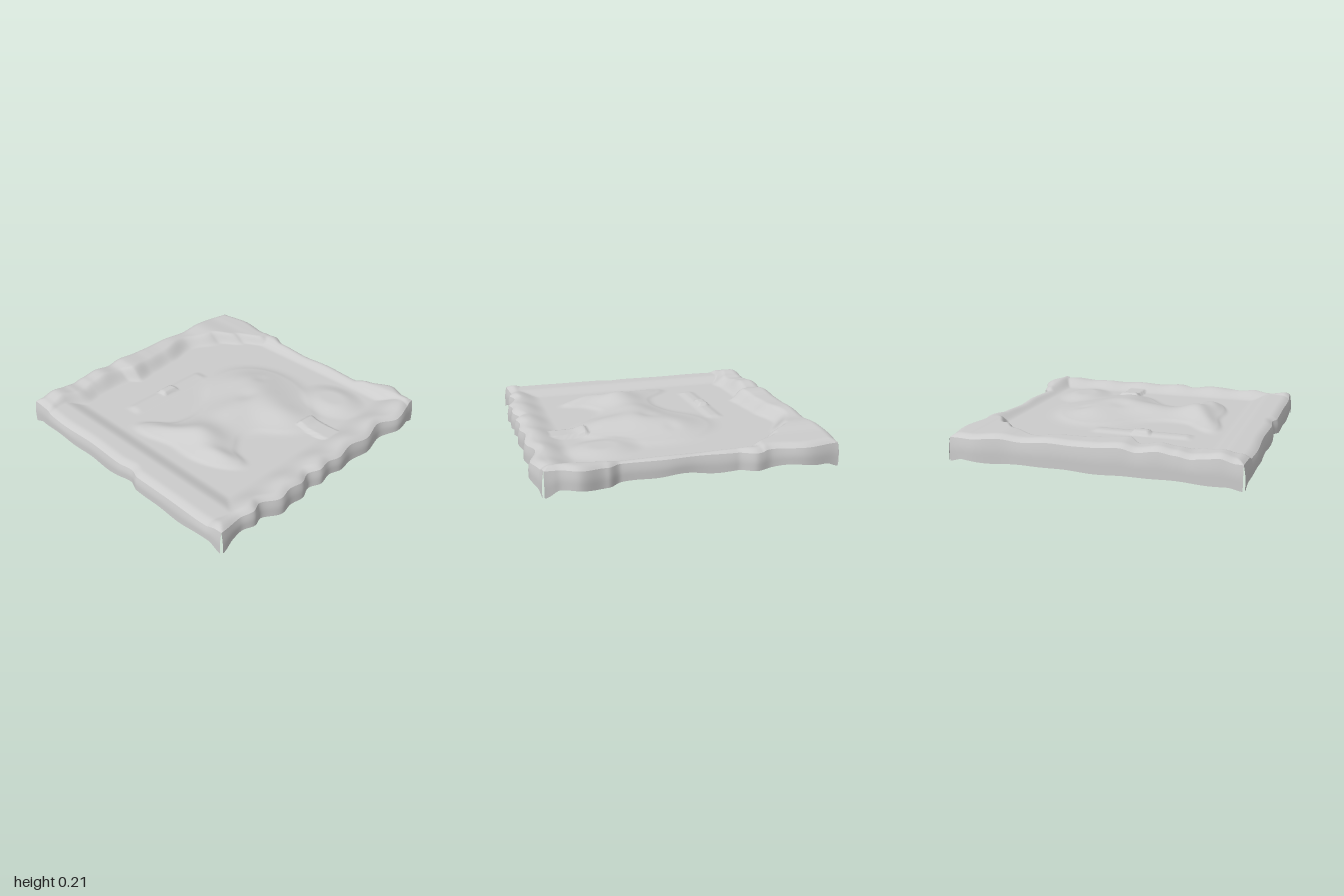
import * as THREE from 'three';

const N = 170; // grid cells per side
const FLOOR = 0.125;
const material = new THREE.MeshStandardMaterial({ color: 0xcccccc, side: THREE.DoubleSide });

const smooth = (a, b, t) => {
  const k = Math.min(1, Math.max(0, (t - a) / (b - a)));
  return k * k * (3 - 2 * k);
};
const lerp = THREE.MathUtils.lerp;

// Eased curve through [position, value] points
function along(points, t) {
  for (let i = 1; i < points.length; i++) {
    const [a, va] = points[i - 1], [b, vb] = points[i];
    if (t <= b) return lerp(va, vb, smooth(a, b, t));
  }
  return points[points.length - 1][1];
}

// Rotated oval bump, gaussian in section
function bump(x, z, cx, cz, rx, rz, angle, h) {
  const c = Math.cos(angle), s = Math.sin(angle), dx = x - cx, dz = z - cz;
  const p = (dx * c + dz * s) / rx, q = (-dx * s + dz * c) / rz;
  return h * Math.exp(-(p * p + q * q));
}

// Raised rectangle with soft sides
const plateau = (x, z, x0, x1, z0, z1, e) =>
  smooth(x0 - e, x0 + e, x) * smooth(x1 + e, x1 - e, x) * smooth(z0 - e, z0 + e, z) * smooth(z1 + e, z1 - e, z);

// Outline of the slab
const leftEdge = [[-1, -0.96], [-0.8, -0.985], [-0.55, -0.97], [-0.2, -0.975], [1, -0.975]];
const rightEdge = [[-1, 0.94], [-0.76, 0.985], [-0.59, 0.93], [-0.4, 0.968], [-0.24, 0.945], [-0.1, 0.967],
  [0, 0.95], [0.1, 0.967], [0.19, 0.93], [0.3, 0.967], [0.4, 0.955], [0.49, 0.97], [0.64, 0.912], [0.72, 0.94], [0.82, 0.913], [1, 0.935]];
const backEdge = [[-1, -0.95], [-0.76, -0.982], [-0.52, -0.945], [-0.4, -0.972], [-0.28, -0.925], [0, -0.905],
  [0.2, -0.917], [0.5, -0.902], [0.6, -0.95], [0.78, -0.998], [0.92, -0.95], [1, -0.945]];
const frontEdge = [[-1, 0.955], [-0.6, 0.975], [-0.3, 0.965], [0, 0.975], [0.13, 0.96], [0.22, 0.985], [0.5, 0.985], [0.8, 0.99], [1, 0.98]];

// Inner foot of the tall left bank, and its crest
const bankFoot = [[-0.85, -0.35], [-0.72, -0.52], [-0.58, -0.66], [-0.36, -0.76], [-0.12, -0.71], [0.08, -0.69],
  [0.21, -0.67], [0.29, -0.735], [0.42, -0.74], [0.55, -0.735], [0.66, -0.71], [0.8, -0.74], [1, -0.7]];
const bankCrest = [[-1, 0.05], [-0.8, 0.055], [-0.6, 0.072], [-0.45, 0.06], [-0.25, 0.075], [-0.1, 0.07], [0.03, 0.072],
  [0.2, 0.085], [0.3, 0.066], [0.43, 0.085], [0.54, 0.07], [0.63, 0.056], [0.7, 0.064], [0.8, 0.078], [0.9, 0.055], [1, 0.05]];

function height(x, z) {
  // Rims round the sunken floor
  const foot = along(bankFoot, z);
  const bank = along(bankCrest, z) * smooth(foot + 0.01, foot - 0.11, x);
  const back = lerp(0.043, 0.062, smooth(0.5, 0.8, x)) * smooth(-0.79, -0.9, z);
  const front = 0.035 * smooth(0.69, 0.82, z);
  const right = (0.045 + 0.006 * Math.sin(z * 21)) * smooth(0.7, 0.88, x);
  const rim = Math.max(bank, back, front, right);

  // Central hill: broad shoulders, a waist and a spreading foot
  const hill =
    bump(x, z, 0.08, -0.25, 0.34, 0.27, 0, 0.05) +
    bump(x, z, 0.22, -0.17, 0.2, 0.16, 0, 0.027) +
    bump(x, z, 0.42, -0.16, 0.16, 0.12, -0.7, 0.025) +
    bump(x, z, -0.08, -0.32, 0.13, 0.16, 0.6, 0.017) +
    bump(x, z, 0.12, 0.1, 0.16, 0.22, 0, 0.05) +
    bump(x, z, 0.18, 0.4, 0.18, 0.13, 0, 0.065) +
    bump(x, z, 0.4, 0.47, 0.16, 0.07, -0.35, 0.035) +
    bump(x, z, -0.05, 0.52, 0.2, 0.08, -0.4, 0.036) -
    bump(x, z, 0.08, -0.13, 0.07, 0.08, 0, 0.014) -
    bump(x, z, -0.02, -0.38, 0.05, 0.06, 0, 0.007);
  const edge = smooth(0.004, 0.016, hill);

  // Low round mound
  const mound = 0.03 * smooth(0.27, 0.08, Math.hypot(x - 0.5, (z + 0.57) * 1.3));

  // Long strip with a small block, and a ledge running into the right rim
  const strip = 0.012 * plateau(x, z, -0.46, -0.37, -0.15, 0.5, 0.03);
  const block = 0.018 * plateau(x, z, -0.465, -0.39, 0.115, 0.23, 0.009);
  const ledge = 0.02 * plateau(x, z, 0.53, 0.78, -0.3, -0.16, 0.009);

  return FLOOR + Math.max(rim, ledge) + hill * edge + mound + strip + block;
}

// Surface point for grid position u, v in -1..1
const INSET = 0.012;
function topPoint(u, v) {
  const x = lerp(along(leftEdge, v) + INSET, along(rightEdge, v) - INSET, (u + 1) / 2);
  const z = lerp(along(backEdge, u) + INSET, along(frontEdge, u) - INSET, (v + 1) / 2);
  const d = Math.min(1 - Math.abs(u), 1 - Math.abs(v)); // rounded lip
  const k = Math.max(0, 1 - d / 0.06);
  return new THREE.Vector3(x, height(x, z) - 0.024 * k * k, z);
}

// Smooth sheet from a point rule
function sheet(name, cols, rows, point) {
  const pos = [], index = [];
  for (let j = 0; j <= rows; j++) {
    for (let i = 0; i <= cols; i++) pos.push(...point(i / cols, j / rows).toArray());
  }
  for (let j = 0; j < rows; j++) {
    for (let i = 0; i < cols; i++) {
      const a = j * (cols + 1) + i, b = a + 1, c = a + cols + 1, d = c + 1;
      index.push(a, c, b, b, c, d);
    }
  }
  const geometry = new THREE.BufferGeometry();
  geometry.setAttribute('position', new THREE.Float32BufferAttribute(pos, 3));
  geometry.setIndex(index);
  geometry.computeVertexNormals();
  const mesh = new THREE.Mesh(geometry, material);
  mesh.name = name;
  return mesh;
}

export function createModel() {
  const group = new THREE.Group();
  group.name = 'terrainSlab';
  group.add(sheet('terrainSurface', N, N, (s, t) => topPoint(s * 2 - 1, t * 2 - 1)));

  // Open-bottomed side walls with a wavy lower edge
  const walls = [
    ['frontWall', t => [t, 1], 0, 1, 0.3],
    ['rightWall', t => [1, -t], 1, 0, 1.7],
    ['backWall', t => [-t, -1], 0, -1, 2.9],
    ['leftWall', t => [-1, t], -1, 0, 4.1],
  ];
  for (const [name, at, nx, nz, phase] of walls) {
    group.add(sheet(name, N, 8, (s, k) => {
      const t = s * 2 - 1, p = topPoint(...at(t));
      const wave = 0.036 + 0.008 * Math.sin(t * 8 + phase) + 0.005 * Math.sin(t * 17 + phase);
      const bottom = wave * smooth(1.0, 0.9, Math.abs(t)) * (name === 'leftWall' ? 0.5 : 1);
      const flare = INSET * Math.sin(Math.min(1, k * 1.6) * Math.PI / 2);
      return new THREE.Vector3(p.x + nx * flare, lerp(p.y, bottom, k), p.z + nz * flare);
    }));
  }
  return group;
}
